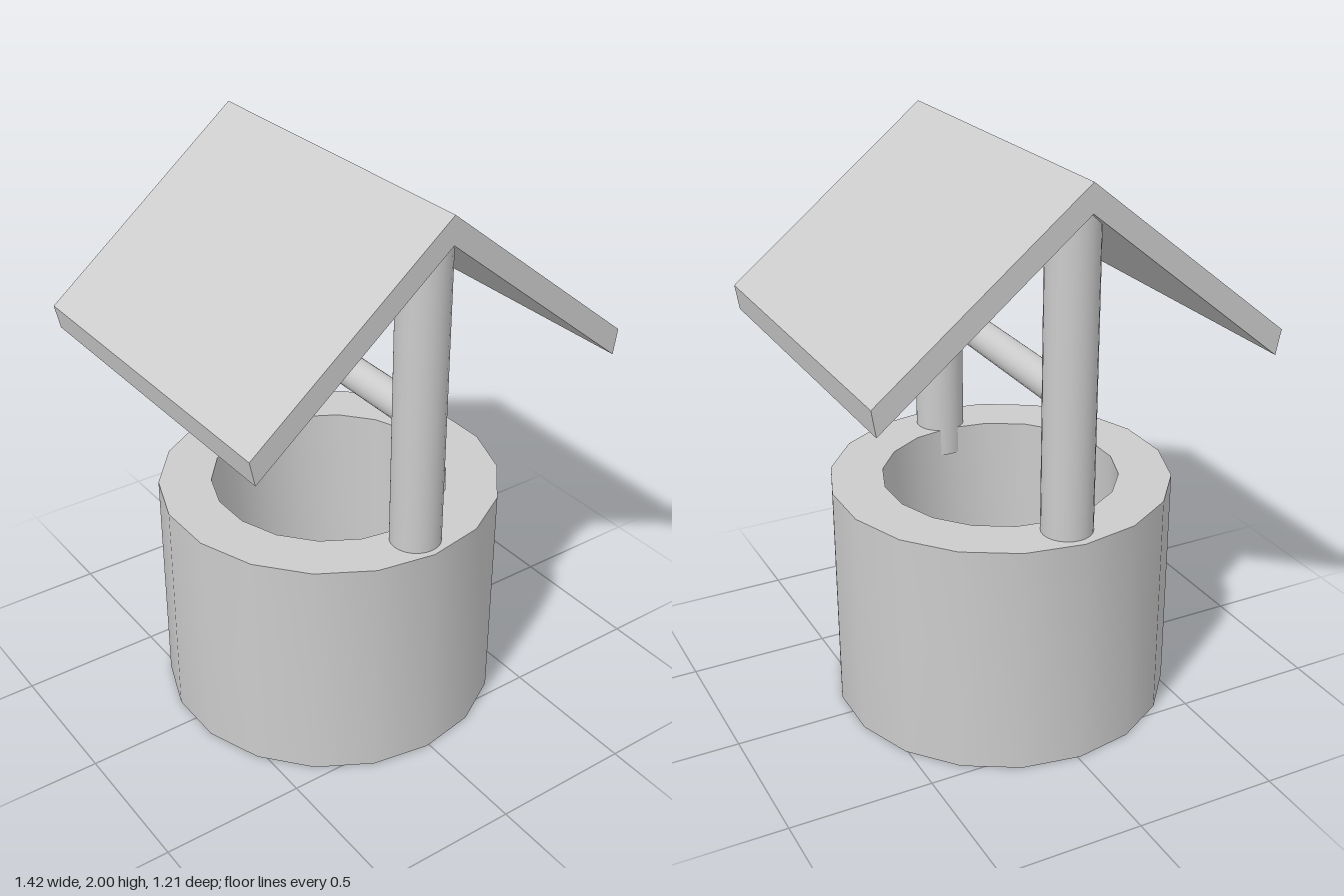
import * as THREE from 'three';
import { toCreasedNormals } from 'three/addons/utils/BufferGeometryUtils.js';

export function createModel() {
  const group = new THREE.Group();
  const material = new THREE.MeshStandardMaterial({ color: 0xcccccc });
  const add = (name, geometry, x, y, z) => {
    const mesh = new THREE.Mesh(geometry, material);
    mesh.name = name;
    mesh.position.set(x, y, z);
    group.add(mesh);
    return mesh;
  };

  // Hollow 18-sided wall, open at both ends
  const inner = 0.412, outer = 0.595, height = 0.82;
  const profile = [[inner, 0], [outer, 0], [outer, height], [inner, height], [inner, 0]]
    .map(([r, y]) => new THREE.Vector2(r, y));
  add('wellWall', toCreasedNormals(new THREE.LatheGeometry(profile, 18), Math.PI / 5), -0.009, 0, -0.004);

  // Two posts, set a little way into the wall and reaching the ridge
  const bottom = 0.72, top = 1.905;
  for (const [name, z] of [['frontPost', 0.481], ['backPost', -0.483]]) {
    add(name, new THREE.CylinderGeometry(0.087, 0.087, top - bottom, 24), -0.005, (top + bottom) / 2, z);
  }

  // Crossbar between the posts
  const bar = add('crossbar', new THREE.CylinderGeometry(0.055, 0.055, 0.96, 24), -0.005, 1.283, 0);
  bar.rotation.x = Math.PI / 2;

  // Gabled roof, a chevron extruded from back to front
  const chevron = new THREE.Shape([
    [0, 2], [-0.711, 1.43], [-0.693, 1.345], [0, 1.905], [0.697, 1.342], [0.711, 1.43],
  ].map(([x, y]) => new THREE.Vector2(x, y)));
  const depth = 1.214;
  add('roof', new THREE.ExtrudeGeometry(chevron, { depth, bevelEnabled: false }), 0, 0, -depth / 2);

  return group;
}
